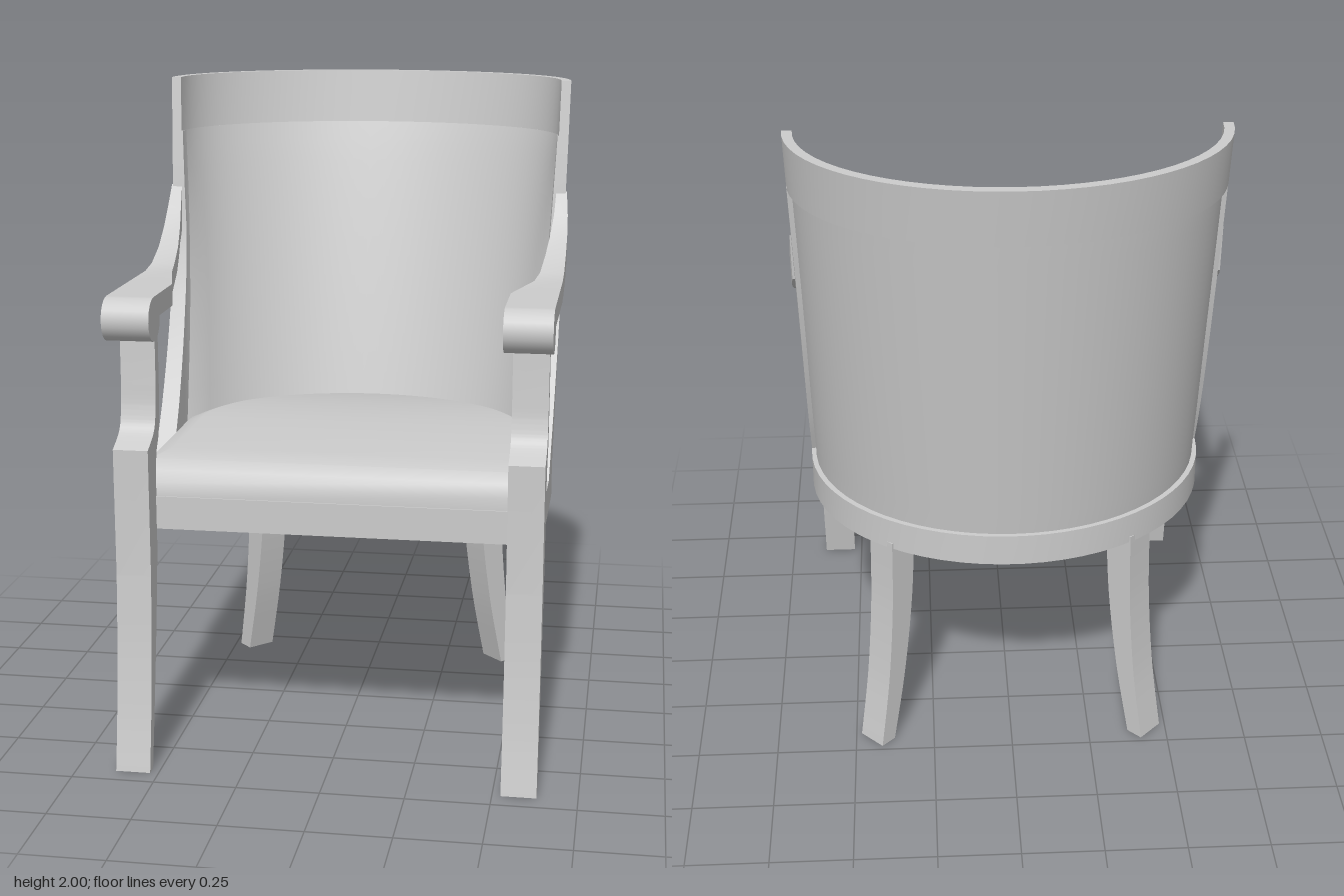
import * as THREE from 'three';
import { toCreasedNormals } from 'three/addons/utils/BufferGeometryUtils.js';

const { lerp } = THREE.MathUtils;
const material = new THREE.MeshStandardMaterial({ color: 0xcccccc });
const ARC = 32, SEAT = 0.82, BAND = 1.83, TOP = 2;

// Skin through closed rings; caps join point i to its opposite n-1-i
function loft(rings) {
  const n = rings[0].length, last = (rings.length - 1) * n, index = [];
  const quad = (a, b, c, d) => index.push(a, b, c, a, c, d);
  for (let r = 0; r < rings.length - 1; r++)
    for (let i = 0; i < n; i++) {
      const j = (i + 1) % n, o = r * n;
      quad(o + i, o + j, o + n + j, o + n + i);
    }
  for (let i = 0; i < n / 2 - 1; i++) {
    quad(n - 1 - i, n - 2 - i, i + 1, i);
    quad(last + i, last + i + 1, last + n - 2 - i, last + n - 1 - i);
  }
  const g = new THREE.BufferGeometry();
  g.setAttribute('position', new THREE.Float32BufferAttribute(rings.flat(2), 3));
  g.setIndex(index);
  return toCreasedNormals(g, 0.6);
}

const mirrorRing = (ring, s) => (s > 0 ? ring : ring.map(([x, y, z]) => [-x, y, z]).reverse());

// Linear lookup in a list of [y, z] pairs
function lookup(table, y) {
  let i = 0;
  while (i < table.length - 2 && y > table[i + 1][0]) i++;
  const [a, b] = [table[i], table[i + 1]];
  return lerp(a[1], b[1], (y - a[0]) / (b[0] - a[0]));
}
const frontEdge = (y) => lookup([[0.82, 0.2], [0.9, 0.135], [1, 0.062], [1.13, -0.015], [1.22, -0.06],
  [1.31, -0.1], [1.41, -0.135], [1.51, -0.16], [1.66, -0.175], [2, -0.22]], y);
const panelEdge = (y) => lookup([[0.82, 0.02], [0.95, -0.035], [1.13, -0.095], [1.29, -0.14],
  [1.45, -0.175], [1.62, -0.205], [1.83, -0.233]], y);

// Leaning half-ellipse plan of the back at height y
function plan(y) {
  const t = (y - SEAT) / (TOP - SEAT);
  return { ax: lerp(0.62, 0.64, t), az: lerp(0.55, 0.47, t), zc: lerp(0.02, -0.22, t), thick: lerp(0.06, 0.03, t) };
}

// Curved wall ring: outer arc from left to right, then back along the inside
function wallRing(y, z0, outer, inner) {
  const { ax, az, zc } = plan(y);
  const start = Math.asin(Math.max(0, (zc - z0) / az));
  const arc = (inset) => Array.from({ length: ARC + 1 }, (_, i) => {
    const a = lerp(start, Math.PI - start, i / ARC), d = inset(i / ARC);
    return [(ax - d) * Math.cos(a), y, zc - (az - d) * Math.sin(a)];
  });
  return [...arc(outer), ...arc(inner).reverse()];
}

// Side stile ring between the front edge and the panel edge
function stileRing(y) {
  const { ax, az, zc, thick } = plan(y), n = 6;
  const side = (d) => Array.from({ length: n + 1 }, (_, i) => {
    const z = lerp(frontEdge(y), panelEdge(y), i / n);
    const k = Math.min(0, (z - zc) / az);
    return [ax * Math.sqrt(1 - k * k) - d, y, z];
  });
  return [...side(0), ...side(thick).reverse()];
}

// D-shaped seat outline: straight front, rounded back
function seatRing(y, hx, front, az) {
  const arc = Array.from({ length: ARC }, (_, i) => {
    const a = Math.PI * i / (ARC - 1);
    return [hx * Math.cos(a), y, 0.01 - az * Math.sin(a)];
  });
  return [[hx, y, front], ...arc, [-hx, y, front]];
}

const rows = (y0, y1, n) => Array.from({ length: n + 1 }, (_, i) => lerp(y0, y1, i / n));

// Leg from a side profile of splines, extruded across x and centred on it
function legGeometry(splines, width) {
  const shape = new THREE.Shape();
  splines.forEach((pts, i) => {
    const v = pts.map((p) => new THREE.Vector2(...p));
    if (i === 0) shape.moveTo(v[0].x, v[0].y); else shape.lineTo(v[0].x, v[0].y);
    shape.splineThru(v.slice(1));
  });
  const g = new THREE.ExtrudeGeometry(shape, { depth: width, bevelEnabled: false, curveSegments: 12 });
  g.translate(0, 0, -width / 2).rotateY(-Math.PI / 2);
  return toCreasedNormals(g, 0.5);
}

export function createModel() {
  const chair = new THREE.Group();
  chair.name = 'armchair';
  const add = (name, geometry) => {
    const m = new THREE.Mesh(geometry, material);
    m.name = name;
    chair.add(m);
    return m;
  };

  // Seat rail and cushion
  add('seatRail', loft([0.72, SEAT].map((y) => seatRing(y, 0.62, 0.54, 0.54))));
  add('seatCushion', loft([[0, 0.81], [0, 0.86], [0.02, 0.895], [0.06, 0.92], [0.14, 0.935]]
    .map(([d, y]) => seatRing(y, 0.59 - d * 0.6, 0.535 - d, 0.46 - d * 0.3))));

  // Top band of the back
  add('backTopBand', loft([BAND, TOP].map((y) => wallRing(y, frontEdge(y), () => 0, () => 0.03))));

  // Recessed back panel with padding that swells toward the seat
  add('paddedBack', loft(rows(SEAT, BAND, 16).map((y) => {
    const k = (BAND - y) / (BAND - SEAT), edge = plan(y).thick - 0.004;
    const swell = 0.115 * Math.pow(k, 0.9);
    return wallRing(y, panelEdge(y), () => 0.014,
      (u) => edge + swell * Math.pow(Math.max(0, Math.sin(Math.PI * u)), 0.5));
  })));

  // Side profiles: [z or radius, y]
  const frontLeg = legGeometry([
    [[0.655, 0], [0.615, 0.2], [0.575, 0.42], [0.545, 0.62], [0.535, 0.75]],
    [[0.533, 0.9], [0.52, 0.955], [0.493, 1], [0.479, 1.08], [0.475, 1.17]],
    [[0.475, 1.385], [0.51, 1.385]],
    [[0.512, 1.16], [0.52, 1.08], [0.545, 1.02], [0.62, 0.98]],
    [[0.62, 0.6], [0.635, 0.38], [0.66, 0.17], [0.69, 0]],
  ], 0.105);
  const backLeg = legGeometry([
    [[0.58, 0], [0.525, 0.24], [0.485, 0.5], [0.467, 0.74]],
    [[0.563, 0.74], [0.57, 0.5], [0.595, 0.24], [0.636, 0]],
  ], 0.095);

  // Arm sections: top z, top y, bottom z, bottom y, inner x, outer x
  const armSections = [
    [0.585, 1.43, 0.585, 1.365, 0.505, 0.645], [0.37, 1.43, 0.37, 1.365, 0.505, 0.645],
    [0.15, 1.43, 0.15, 1.365, 0.56, 0.645], [0.07, 1.442, 0.08, 1.376, 0.572, 0.645],
    [-0.02, 1.48, 0, 1.402, 0.582, 0.645], [-0.09, 1.532, -0.07, 1.442, 0.592, 0.645],
    [-0.14, 1.59, -0.12, 1.478, 0.6, 0.643], [-0.178, 1.66, -0.163, 1.51, 0.604, 0.637],
  ];
  const scroll = new THREE.CylinderGeometry(0.065, 0.065, 0.14, 24).rotateZ(Math.PI / 2);

  for (const s of [1, -1]) {
    const side = s > 0 ? 'left' : 'right';
    add(side + 'Stile', loft(rows(SEAT, BAND, 18).map((y) => mirrorRing(stileRing(y), s))));
    add(side + 'Arm', loft(armSections.map(([zt, yt, zb, yb, xi, xo]) =>
      mirrorRing([[xo, yb, zb], [xi, yb, zb], [xi, yt, zt], [xo, yt, zt]], s))));
    add(side + 'ArmScroll', scroll).position.set(s * 0.575, 1.365, 0.585);
    add(side + 'FrontLeg', frontLeg).position.x = s * 0.5775;
    add(side + 'BackLeg', backLeg).rotation.y = s * Math.PI * 0.75;
  }
  return chair;
}
